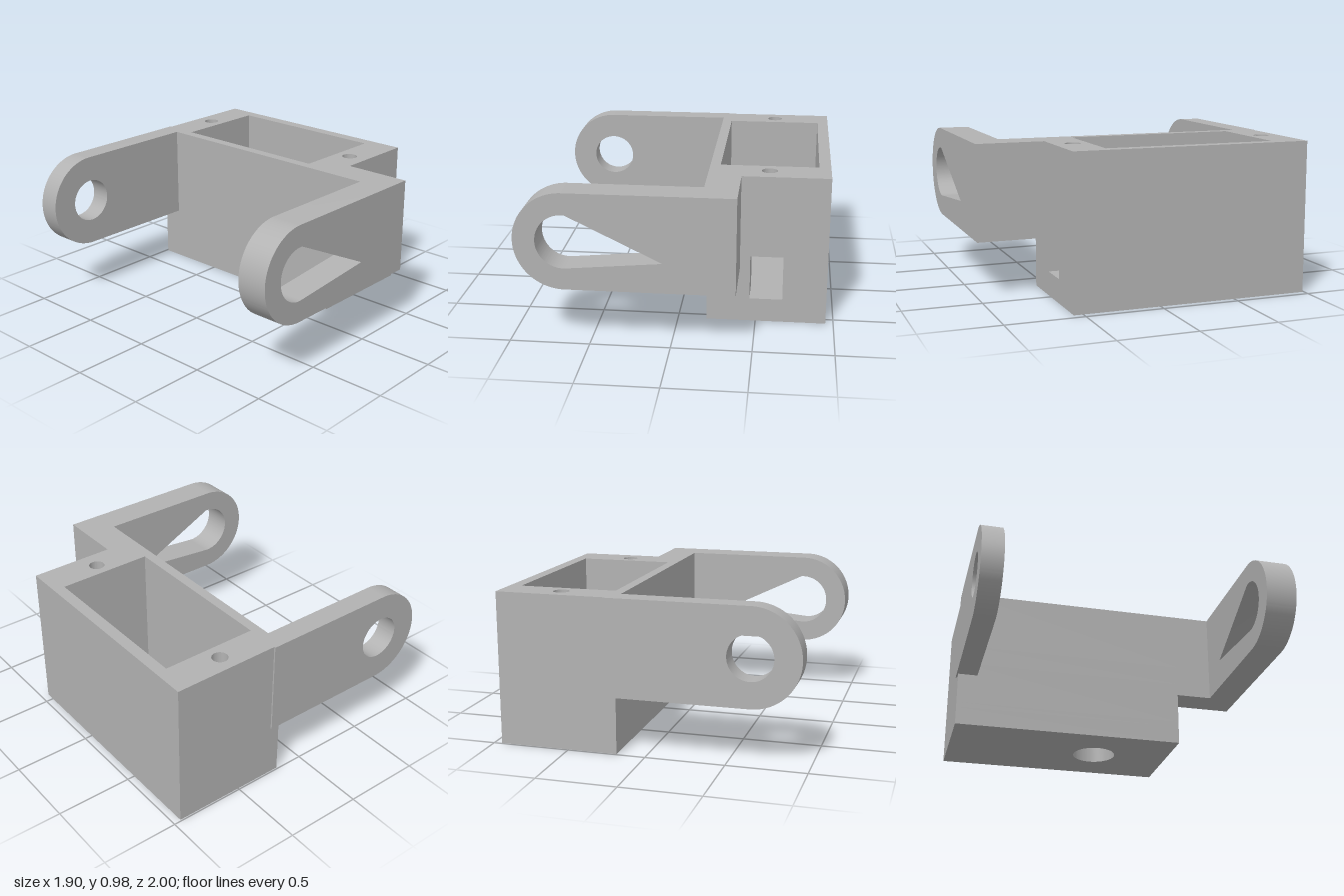
import * as THREE from 'three';
import { toCreasedNormals } from 'three/addons/utils/BufferGeometryUtils.js';

const grey = new THREE.MeshStandardMaterial({ color: 0xb2b2b2 });
grey.name = 'plain grey';

const TOP = 0.975;
const ARM = { x: -0.645, y: 0.6675, r: 0.3075 };

const polygon = (pts, Kind = THREE.Shape) => new Kind(pts.map(([x, y]) => new THREE.Vector2(x, y)));
const circle = (x, y, r) => new THREE.Path().absarc(x, y, r, 0, Math.PI * 2, true);

function extrude(shape, depth) {
  return new THREE.ExtrudeGeometry(shape, { depth, bevelEnabled: false, curveSegments: 48 });
}

function addMesh(group, name, geometry) {
  const mesh = new THREE.Mesh(toCreasedNormals(geometry, 0.5), grey);
  mesh.name = name;
  group.add(mesh);
}

// Horizontal slab: the outline is drawn in (x, -z) and raised from y0 to y1
function addLayer(group, name, outline, holes, y0, y1) {
  outline.holes.push(...holes);
  addMesh(group, name, extrude(outline, y1 - y0).rotateX(-Math.PI / 2).translate(0, y0, 0));
}

// Upright arm with a rounded free end and one opening
function addArm(group, name, xEnd, z0, z1, opening) {
  const s = new THREE.Shape();
  s.moveTo(xEnd, ARM.y - ARM.r);
  s.lineTo(xEnd, ARM.y + ARM.r);
  s.lineTo(ARM.x, ARM.y + ARM.r);
  s.absarc(ARM.x, ARM.y, ARM.r, Math.PI / 2, Math.PI * 1.5, false);
  s.closePath();
  s.holes.push(opening);
  addMesh(group, name, extrude(s, z1 - z0).translate(0, 0, z0));
}

export function createModel() {
  const model = new THREE.Group();
  model.name = 'bracket';

  // Housing, stacked in layers around the open cavity
  const housing = new THREE.Group();
  housing.name = 'housing';
  model.add(housing);
  const outer = () => polygon([[0.185, -0.56], [0.95, -0.56], [0.95, 0.99], [0.185, 0.99]]);
  const cavity = () => polygon([[0.25, -0.33], [0.25, 0.775], [0.875, 0.775], [0.875, -0.33]], THREE.Path);
  const screwHoles = [circle(0.565, 0.875, 0.05), circle(0.565, -0.43, 0.05)];

  addLayer(housing, 'base with round recess', outer(), [circle(0.565, -0.04, 0.147)], 0, 0.12);
  addLayer(housing, 'cavity floor', outer(), [], 0.12, 0.155);
  // Walls interrupted by the front window
  const split = polygon([
    [0.185, -0.56], [0.46, -0.56], [0.46, -0.33], [0.25, -0.33], [0.25, 0.775], [0.875, 0.775],
    [0.875, -0.33], [0.67, -0.33], [0.67, -0.56], [0.95, -0.56], [0.95, 0.99], [0.185, 0.99],
  ]);
  addLayer(housing, 'lower walls with window', split, [], 0.155, 0.445);
  addLayer(housing, 'middle walls', outer(), [cavity()], 0.445, 0.575);
  addLayer(housing, 'upper walls with screw holes', outer(), [cavity(), ...screwHoles], 0.575, TOP);

  // Post joining the housing to the front arm
  const post = polygon([[0.185, -0.8], [0.395, -0.8], [0.395, -0.56], [0.185, -0.56]]);
  addLayer(model, 'connecting post', post, [], ARM.y - ARM.r, TOP);

  // Front arm with a tapered slot
  const slot = new THREE.Path();
  const tilt = Math.PI / 2 - 0.095;
  slot.moveTo(-0.045, ARM.y + 0.115);
  slot.absarc(ARM.x, ARM.y, 0.17, tilt, Math.PI * 2 - tilt, false);
  slot.lineTo(-0.045, ARM.y - 0.115);
  slot.closePath();
  addArm(model, 'front arm', 0.395, 0.8, 1, slot);

  // Back arm with a round hole
  addArm(model, 'back arm', 0.25, -1, -0.86, circle(ARM.x, ARM.y, 0.142));

  return model;
}
